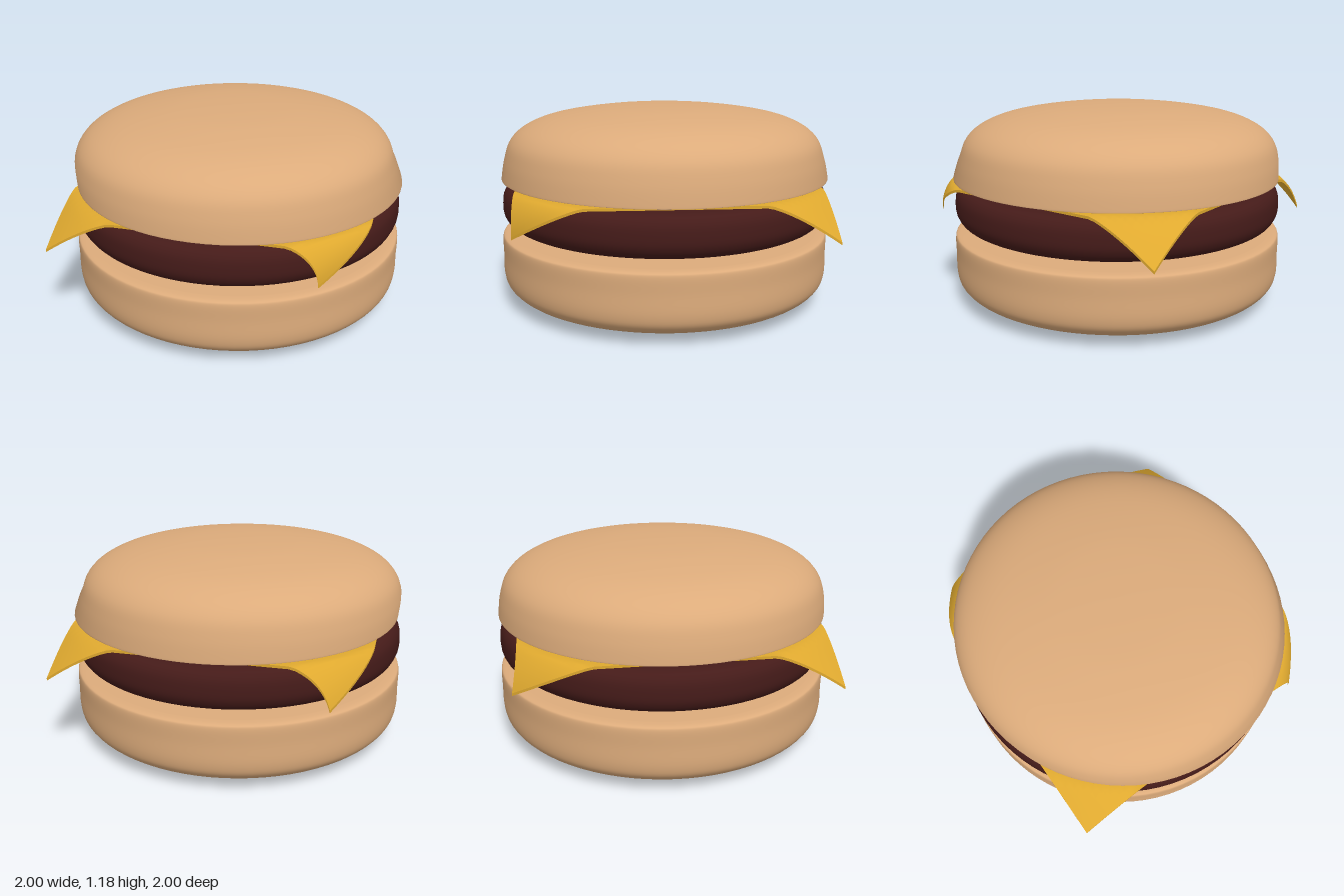
import * as THREE from 'three';

const bunMaterial = new THREE.MeshStandardMaterial({ color: 0xdcab7b });
const pattyMaterial = new THREE.MeshStandardMaterial({ color: 0x451b19 });
const cheeseMaterial = new THREE.MeshStandardMaterial({ color: 0xdfa92f });

const toVectors = (points) => points.map(([x, y]) => new THREE.Vector2(x, y));

// Smooth outline through a few points, closed to the axis by flat parts
function turned(name, start, outline, end, material) {
  const curve = new THREE.SplineCurve(toVectors(outline)).getPoints(40);
  const profile = [...toVectors(start), ...curve, ...toVectors(end)];
  const mesh = new THREE.Mesh(new THREE.LatheGeometry(profile, 80), material);
  mesh.name = name;
  return mesh;
}

// Square slice whose corners hang over the patty, each pulled a little sideways
function cheeseSlice() {
  const geometry = new THREE.BoxGeometry(1.75, 0.015, 1.75, 48, 1, 48);
  const p = geometry.attributes.position;
  const pull = (x, z) => {
    if (x > 0 && z > 0) return [-0.22, 0];
    if (x < 0 && z < 0) return [0.18, -0.03];
    return [0, 0];
  };
  for (let i = 0; i < p.count; i++) {
    const x = p.getX(i), y = p.getY(i), z = p.getZ(i);
    const t = THREE.MathUtils.clamp((Math.hypot(x, z) - 1) / 0.237, 0, 1);
    const [dx, dz] = pull(x, z);
    const w = Math.pow(t, 1.5);
    p.setXYZ(i, x + dx * w, y + 0.728 - 0.205 * Math.pow(t, 1.15), z + dz * w);
  }
  geometry.computeVertexNormals();
  const mesh = new THREE.Mesh(geometry, cheeseMaterial);
  mesh.name = 'cheeseSlice';
  return mesh;
}

export function createModel() {
  const group = new THREE.Group();
  group.name = 'cheeseburger';

  // Bottom bun: rounded underside, tight upper rim
  group.add(turned('bottomBun', [[0, 0]],
    [[0.5, 0.005], [0.75, 0.025], [0.9, 0.058], [0.975, 0.11], [1, 0.18], [1, 0.3], [1, 0.395], [0.985, 0.418], [0.94, 0.425]],
    [[0.85, 0.427], [0, 0.427]], bunMaterial));

  // Patty: thick disc with a full round edge
  group.add(turned('patty', [[0, 0.43]],
    [[0.6, 0.434], [0.83, 0.452], [0.94, 0.485], [0.985, 0.54], [0.992, 0.61], [0.98, 0.67], [0.94, 0.708], [0.85, 0.718]],
    [[0.7, 0.719], [0, 0.719]], pattyMaterial));

  group.add(cheeseSlice());

  // Top bun: flared dome leaning slightly to its right
  const topBun = turned('topBun', [[0, 0.75], [0.9, 0.75], [0.97, 0.75]],
    [[0.983, 0.753], [0.985, 0.765], [0.968, 0.87], [0.93, 0.975], [0.84, 1.055], [0.68, 1.115], [0.42, 1.157], [0.2, 1.172], [0.01, 1.176]],
    [[0, 1.176]], bunMaterial);
  const p = topBun.geometry.attributes.position;
  for (let i = 0; i < p.count; i++) {
    const lean = 0.012 - 0.24 * THREE.MathUtils.clamp(p.getY(i) - 0.76, 0, 0.14);
    p.setX(i, p.getX(i) + lean);
    p.setZ(i, p.getZ(i) * 1.008);
  }
  group.add(topBun);

  return group;
}
